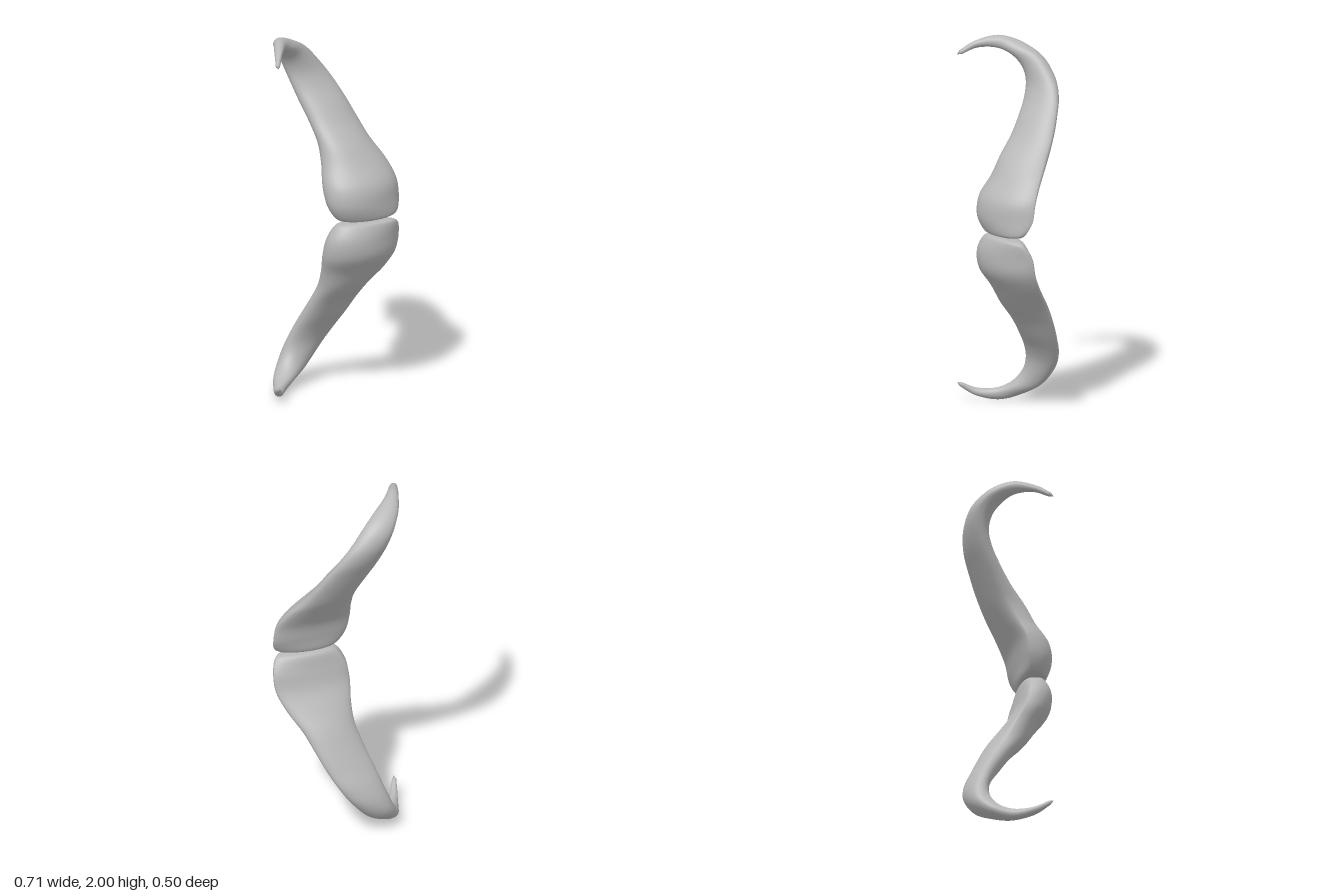
import * as THREE from 'three';

// Four rails running from the blunt base to the hooked tip; each ring passes through one point of every rail.
const leftRail = [
  [0.04, 1.008, 0.15], [-0.015, 1.025, 0.14], [-0.06, 1.1, 0.12], [-0.077, 1.2, 0.1], [-0.07, 1.3, 0.05],
  [-0.075, 1.4, 0], [-0.105, 1.5, -0.06], [-0.145, 1.6, -0.115], [-0.18, 1.69, -0.155], [-0.215, 1.78, -0.18],
  [-0.25, 1.86, -0.17], [-0.29, 1.927, -0.113], [-0.318, 1.967, -0.01], [-0.341, 1.95, 0.1], [-0.356, 1.912, 0.18],
];
const rightRail = [
  [0.28, 1.008, 0.14], [0.332, 1.027, 0.12], [0.354, 1.1, 0.075], [0.343, 1.2, 0.055], [0.295, 1.3, 0.01],
  [0.225, 1.4, -0.055], [0.172, 1.5, -0.115], [0.12, 1.6, -0.16], [0.06, 1.7, -0.195], [-0.005, 1.79, -0.2],
  [-0.1, 1.9, -0.16], [-0.182, 1.947, -0.085], [-0.247, 1.968, -0.005], [-0.296, 1.955, 0.1], [-0.332, 1.91, 0.18],
];
const frontRail = [
  [0.13, 1.003, 0.195], [0.12, 1.02, 0.225], [0.1, 1.1, 0.25], [0.1, 1.2, 0.235], [0.09, 1.3, 0.165],
  [0.06, 1.4, 0.1], [0.02, 1.5, 0.015], [-0.02, 1.6, -0.05], [-0.07, 1.685, -0.1], [-0.12, 1.765, -0.122],
  [-0.175, 1.845, -0.108], [-0.228, 1.905, -0.06], [-0.28, 1.935, 0.005], [-0.32, 1.933, 0.095], [-0.345, 1.9, 0.175],
];
const backRail = [
  [0.15, 1.003, 0.11], [0.15, 1.02, 0.08], [0.14, 1.1, 0.062], [0.13, 1.2, 0.034], [0.11, 1.3, -0.03],
  [0.07, 1.4, -0.097], [0.03, 1.5, -0.147], [-0.01, 1.6, -0.193], [-0.06, 1.7, -0.235], [-0.117, 1.8, -0.249],
  [-0.183, 1.893, -0.217], [-0.243, 1.967, -0.127], [-0.285, 2, -0.015], [-0.318, 1.973, 0.105], [-0.345, 1.922, 0.185],
];
const baseCentre = [0.15, 1, 0.15];
const apex = [-0.347, 1.9, 0.199];

const SIDES = 36;
const RINGS = (leftRail.length - 1) * 6;

// Lofts the horn; mirrored = true reflects it across the plane y = 1.
function hornGeometry(mirrored) {
  const [left, right, front, back] = [leftRail, rightRail, frontRail, backRail].map(
    (rail) => new THREE.CatmullRomCurve3(rail.map((p) => new THREE.Vector3(...p)), false, 'catmullrom', 0.5));
  const positions = [];
  const index = [];
  const addPoint = (x, y, z) => positions.push(x, mirrored ? 2 - y : y, z);
  const addFace = (a, b, c) => (mirrored ? index.push(a, c, b) : index.push(a, b, c));

  // Oval rings through the four rail points
  for (let i = 0; i <= RINGS; i++) {
    const t = i / RINGS;
    const l = left.getPoint(t);
    const r = right.getPoint(t);
    const centre = l.clone().add(r).multiplyScalar(0.5);
    const across = r.clone().sub(centre);
    const forward = front.getPoint(t).sub(centre);
    const backward = back.getPoint(t).sub(centre);
    for (let j = 0; j < SIDES; j++) {
      const angle = (j / SIDES) * Math.PI * 2;
      const s = Math.sin(angle);
      const p = centre.clone()
        .addScaledVector(across, Math.cos(angle))
        .addScaledVector(s > 0 ? forward : backward, Math.abs(s));
      addPoint(p.x, p.y, p.z);
    }
  }
  addPoint(...baseCentre);
  addPoint(...apex);

  // Skin and end caps
  const baseIndex = (RINGS + 1) * SIDES;
  const last = RINGS * SIDES;
  for (let j = 0; j < SIDES; j++) {
    const k = (j + 1) % SIDES;
    for (let i = 0; i < RINGS; i++) {
      const low = i * SIDES;
      const high = low + SIDES;
      addFace(low + j, high + j, low + k);
      addFace(high + j, high + k, low + k);
    }
    addFace(baseIndex, j, k);
    addFace(baseIndex + 1, last + k, last + j);
  }

  const geometry = new THREE.BufferGeometry();
  geometry.setAttribute('position', new THREE.Float32BufferAttribute(positions, 3));
  geometry.setIndex(index);
  geometry.computeVertexNormals();
  return geometry;
}

export function createModel() {
  const group = new THREE.Group();
  group.name = 'hornPair';
  const hornGrey = new THREE.MeshStandardMaterial({ color: 0xb8b8b8 });
  hornGrey.name = 'horn grey';

  for (const [name, mirrored] of [['upperHorn', false], ['lowerHorn', true]]) {
    const horn = new THREE.Mesh(hornGeometry(mirrored), hornGrey);
    horn.name = name;
    group.add(horn);
  }
  return group;
}
